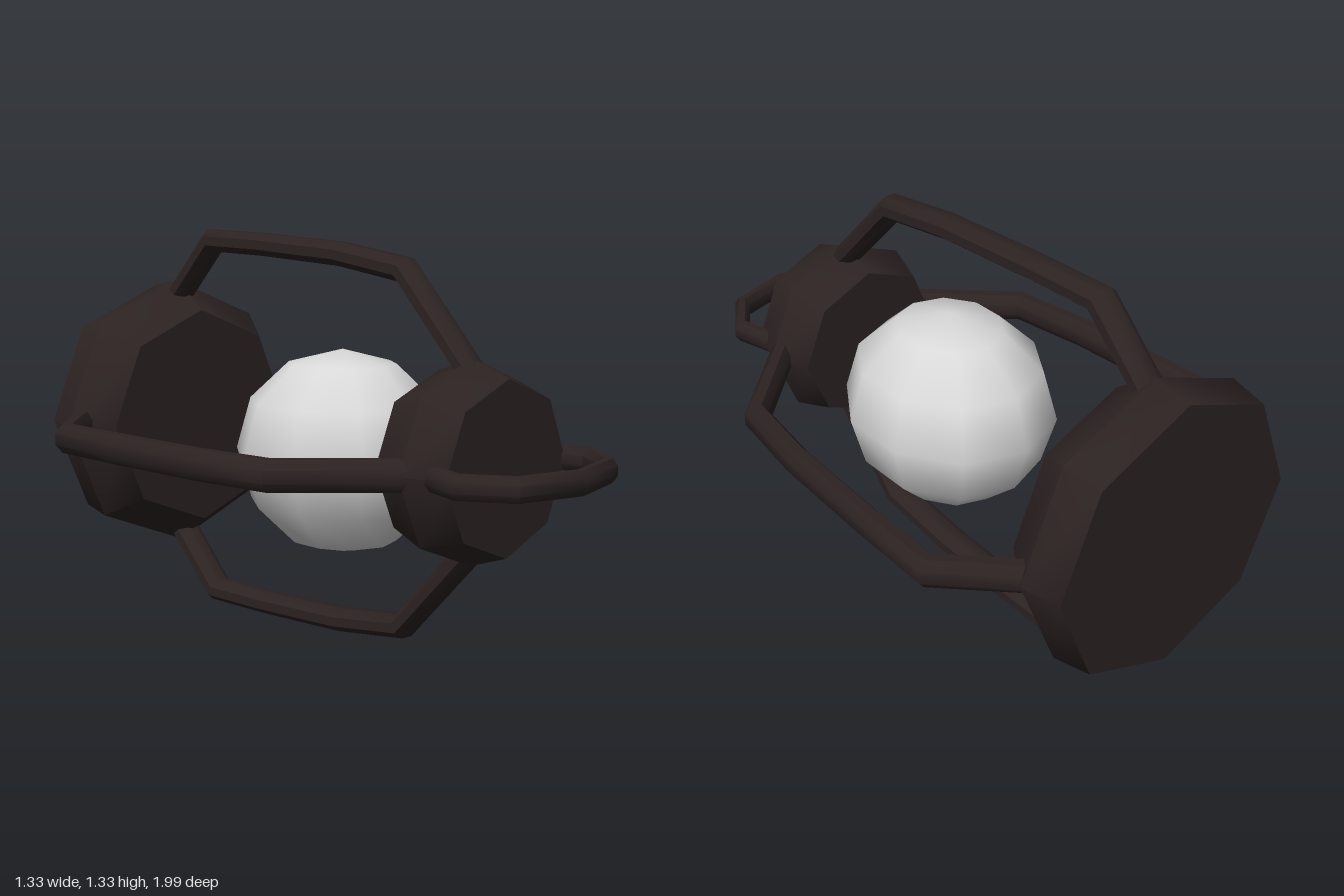
import * as THREE from 'three';
import { toCreasedNormals } from 'three/addons/utils/BufferGeometryUtils.js';

const AXIS_Y = 0.67;
const CREASE = 0.9;

// Octagonal solid turned around z, from [radius, z] pairs
function turned(profile) {
  const pts = profile.map(([r, z]) => new THREE.Vector2(r, z));
  const geo = new THREE.LatheGeometry(pts, 8).rotateX(Math.PI / 2);
  return toCreasedNormals(geo, CREASE);
}

// Rod with mitred bends along [x, z] points; half sizes: a in the plane, b along y
function rod(path, a, b) {
  const sides = 8, grow = 1 / Math.cos(Math.PI / sides);
  const pts = path.map(([x, z]) => new THREE.Vector2(x, z));
  const pos = [], index = [];
  const last = pts.length - 1;
  pts.forEach((p, i) => {
    const t0 = pts[Math.max(i, 1)].clone().sub(pts[Math.max(i, 1) - 1]).normalize();
    const k = Math.min(i, last - 1);
    const t1 = pts[k + 1].clone().sub(pts[k]).normalize();
    const t = t0.clone().add(t1).normalize();
    const mitre = a * grow / t.dot(t1);
    for (let j = 0; j < sides; j++) {
      const ang = (j + 0.5) / sides * Math.PI * 2;
      const c = Math.cos(ang) * mitre;
      pos.push(p.x + t.y * c, Math.sin(ang) * b * grow, p.y - t.x * c);
    }
  });
  for (let i = 0; i < last; i++) {
    for (let j = 0; j < sides; j++) {
      const n = (j + 1) % sides, lo = i * sides, hi = lo + sides;
      index.push(lo + j, lo + n, hi + n, lo + j, hi + n, hi + j);
    }
  }
  const end = last * sides;
  for (let j = 1; j < sides - 1; j++) {
    index.push(0, j + 1, j, end, end + j, end + j + 1);
  }
  const geo = new THREE.BufferGeometry();
  geo.setAttribute('position', new THREE.Float32BufferAttribute(pos, 3));
  geo.setIndex(index);
  return toCreasedNormals(geo, CREASE);
}

export function createModel() {
  const model = new THREE.Group();
  model.name = 'lantern';
  const metal = new THREE.MeshStandardMaterial({ color: 0x2c2222 });
  metal.name = 'dark metal';
  const glass = new THREE.MeshStandardMaterial({ color: 0xd8d8d8 });
  glass.name = 'pale glass';

  const add = (name, geo, mat, y = AXIS_Y) => {
    const mesh = new THREE.Mesh(geo, mat);
    mesh.name = name;
    mesh.position.y = y;
    model.add(mesh);
    return mesh;
  };

  // Wide base at the back, smaller cap at the front
  add('base', turned([[0, -1], [0.455, -1], [0.48, -0.87], [0.38, -0.73], [0, -0.73]]), metal);
  add('cap', turned([[0, 0.42], [0.268, 0.42], [0.316, 0.56], [0.268, 0.7], [0, 0.7]]), metal);

  // Globe, slightly stretched along z
  const globe = new THREE.SphereGeometry(0.335, 10, 6).rotateY(Math.PI / 2).scale(1, 1, 1.11);
  add('globe', globe, glass, 0.635);

  // Four cage bars
  const barGeo = rod([[0.42, -0.86], [0.628, -0.65], [0.622, -0.38], [0.603, 0], [0.564, 0.28], [0.27, 0.56]], 0.037, 0.048);
  for (let i = 0; i < 4; i++) {
    add('cageBar' + (i + 1), barGeo, metal).rotation.z = i * Math.PI / 2;
  }

  // Carrying loop on the cap
  const half = [[0.255, 0.62], [0.297, 0.77], [0.205, 0.91]];
  const mirrored = half.map(([x, z]) => [-x, z]).reverse();
  add('handle', rod([...half, [0, 0.965], ...mirrored], 0.025, 0.037), metal);

  return model;
}
